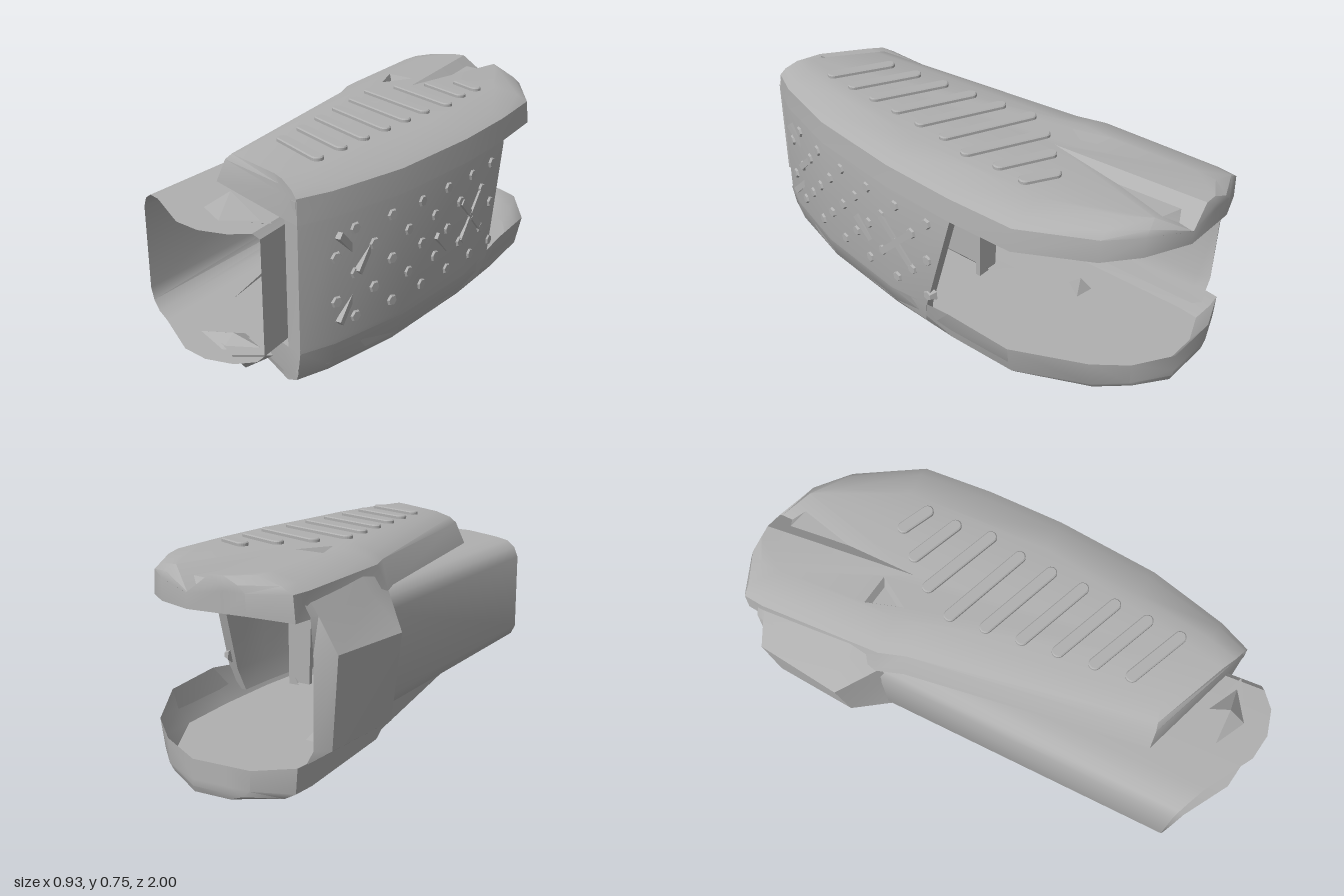
import * as THREE from 'three';
import { toCreasedNormals } from 'three/addons/utils/BufferGeometryUtils.js';

const H = 0.75; // overall height, used to mirror top parts to the bottom

// Skin a stack of plan-view rings (lists of [x, y, z]) and close both ends.
// end: optional { insert, at, hole, apex } to notch and pit the last cap.
function loft(rings, flip = false, end = {}) {
  const pos = [];
  const tri = (a, b, c) => {
    for (const p of flip ? [a, c, b] : [a, b, c]) pos.push(p[0], flip ? H - p[1] : p[1], p[2]);
  };
  const n = rings[0].length;
  for (let r = 0; r + 1 < rings.length; r++) {
    for (let i = 0; i < n; i++) {
      const j = (i + 1) % n, a = rings[r], b = rings[r + 1];
      tri(a[i], a[j], b[j]);
      tri(a[i], b[j], b[i]);
    }
  }
  const flat = (pts) => pts.map((p) => new THREE.Vector2(p[0], -p[2]));
  const cap = (pts, hole, up) => {
    const all = hole ? pts.concat(hole) : pts;
    for (const [a, b, c] of THREE.ShapeUtils.triangulateShape(flat(pts), hole ? [flat(hole)] : [])) {
      if (up) tri(all[a], all[b], all[c]);
      else tri(all[a], all[c], all[b]);
    }
  };
  cap(rings[0], null, false);
  const last = rings[rings.length - 1].slice();
  if (end.insert) {
    tri(last[end.at], last[end.at + 1], end.insert);
    last.splice(end.at + 1, 0, end.insert);
  }
  cap(last, end.hole, true);
  if (end.hole) end.hole.forEach((p, i) => tri(p, end.hole[(i + 1) % end.hole.length], end.apex));
  const g = new THREE.BufferGeometry();
  g.setAttribute('position', new THREE.Float32BufferAttribute(pos, 3));
  return toCreasedNormals(g, 0.55);
}

// Straight-line lookup through [key, value] pairs
function lookup(table, k) {
  for (let i = 0; i + 1 < table.length; i++) {
    const [a, u] = table[i], [b, v] = table[i + 1];
    if (k <= b) return u + (v - u) * Math.max(0, (k - a) / (b - a));
  }
  return table[table.length - 1][1];
}

// Plan outline (x, z) of the outer shell
const OUTLINE = [
  [-0.18, 0.63], [0.17, 0.79], [0.25, 0.82], [0.31, 0.7], [0.4, 0.4], [0.45, 0], [0.46, -0.3],
  [0.45, -0.57], [0.31, -0.82], [0.2, -0.92], [0.04, -1], [-0.1, -1], [-0.18, -1], [-0.32, -0.95],
  [-0.33, -0.87], [-0.32, -0.4], [-0.29, -0.3],
];
const SIDE_X = [[-0.57, 0.45], [-0.3, 0.46], [0, 0.45], [0.4, 0.4], [0.7, 0.31], [0.82, 0.25]];

// Long cover plate: dished underside, sloping shoulder, flat face with a pit
function plateGeometry(bottom) {
  // y, x scale, front z scale, rear z scale
  const levels = [
    [0.705, 0.88, 0.97, 0.95], [0.645, 0.96, 0.99, 0.985], [0.603, 1, 1, 1],
    [0.69, 0.98, 0.995, 1], [0.713, 0.87, 0.985, 1], [0.736, 0.62, 0.96, 0.99],
  ];
  const rim = bottom ? [[-1, 0.62], [-0.8, 0.58], [-0.3, 0.56], [-0.2, 0.603]] : [[-1, 0.62], [-0.8, 0.603]];
  const rings = levels.map(([y, sx, front, rear], level) => OUTLINE.map(([x, z], i) => {
    const flare = !bottom && level === 2 && (i === 0 || i > 14) ? 0.035 : 0;
    const tuck = bottom && level === 3 && x > 0.2 ? 0.95 : 1;
    let h = level === 2 && x > -0.3 ? lookup(rim, z) : y;
    if (i === 10 && !bottom) h = Math.min(h, 0.65 + h * 0.03);
    return [0.05 + (x - 0.05) * sx * tuck - flare, h, z * (z > 0 ? front : rear)];
  }));
  return loft(rings, bottom, {
    insert: [0, 0.736, -0.4], at: 10,
    hole: [[-0.17, 0.736, -0.52], [-0.13, 0.736, -0.38], [-0.05, 0.736, -0.5]],
    apex: [-0.12, 0.65, -0.47],
  });
}

// Side wall with a slanted rear edge: solid at the front, a thin skin behind
function wallGeometry() {
  const plan = [[0.182, 0.79], [0.248, 0.817], [0.308, 0.7], [0.398, 0.4], [0.448, 0], [0.457, -0.25],
    [0.42, -0.25], [0.41, 0], [0.36, 0.4], [0.28, 0.64], [0.182, 0.68]];
  const levels = [[0.07, 0.95], [0.16, 1], [0.59, 1], [0.68, 0.98]];
  return loft(levels.map(([y, s]) => plan.map(([x, z]) => [
    x > 0.2 ? x * s : x, y, z < -0.2 ? -0.2 - 0.1 * (y - 0.2) / 0.36 : z,
  ])));
}

// Block joining the two plates at the rear
function blockGeometry() {
  const plan = [[-0.34, -0.38], [-0.33, -0.5], [-0.34, -0.85], [-0.35, -0.9], [-0.42, -0.87], [-0.47, -0.53]];
  const levels = [[0.08, 0, 0.04], [0.14, 0.05, 0.02], [0.19, 0.72, 0], [0.5, 1, 0], [0.615, 0.15, 0], [0.69, 0, 0.04]];
  return loft(levels.map(([y, k, inward]) => plan.map(([x, z], i) => [
    (i > 2 ? -0.34 + (x + 0.34) * k : x) + inward, y, z,
  ])));
}

// Thin inner sleeve with a curved front lip, narrowing to the rear
function sleeveGeometry() {
  const half = [[0.18, 0.375], [0.18, 0.58], [0.16, 0.6], [0.1, 0.602], [0, 0.602], [-0.1, 0.602], [-0.28, 0.602],
    [-0.34, 0.595], [-0.38, 0.57], [-0.4, 0.53]];
  const ring = half.concat(half.slice(1).reverse().map(([x, y]) => [x, H - y]));
  const lip = [[-0.4, 0.8], [-0.28, 0.86], [-0.1, 0.98], [0, 1], [0.1, 0.98], [0.15, 0.94], [0.18, 0.92]];
  const tail = [[-0.1, -0.42], [0.1, -0.25], [0.18, -0.2]];
  const pos = [], idx = [], n = ring.length;
  for (const [x, y] of ring) {
    pos.push(x, y, lookup(lip, x), -0.35 + (x + 0.4) * 0.85, y, lookup(tail, x));
  }
  for (let i = 0; i < n; i++) {
    const a = 2 * i, b = 2 * ((i + 1) % n);
    idx.push(a, b, a + 1, b, b + 1, a + 1);
  }
  const g = new THREE.BufferGeometry();
  g.setAttribute('position', new THREE.Float32BufferAttribute(pos, 3));
  g.setIndex(idx);
  return toCreasedNormals(g, 0.6);
}

export function createModel() {
  const root = new THREE.Group();
  root.name = 'sleeveShell';
  const grey = new THREE.MeshStandardMaterial({ color: 0xb0b0b0, side: THREE.DoubleSide });
  grey.name = 'grey';
  const add = (name, geo, parent = root) => {
    const m = new THREE.Mesh(geo, grey);
    m.name = name;
    parent.add(m);
    return m;
  };

  add('topPlate', plateGeometry(false));
  add('bottomPlate', plateGeometry(true));
  add('sideWall', wallGeometry());
  add('rearBlock', blockGeometry());
  add('innerSleeve', sleeveGeometry());

  // Slanted web inside the rear opening
  const web = new THREE.Shape([[-0.05, 0.62], [0.07, 0.38], [0.08, 0.14], [0.17, 0.14], [0.17, 0.62]].map((p) => new THREE.Vector2(...p)));
  add('innerWeb', new THREE.ExtrudeGeometry(web, { depth: 0.02, bevelEnabled: false })).position.z = -0.2;

  // Raised grip bars, as [x0, z0, x1, z1], on both plates
  const bars = [[0.14, -0.53, 0.27, -0.46], [0.05, -0.44, 0.26, -0.34], [-0.04, -0.34, 0.27, -0.2]];
  for (let i = 0; i < 6; i++) bars.push([-0.11 + i * 0.011, -0.22 + i * 0.137, 0.24 - i * 0.011, -0.07 + i * 0.131]);
  const grips = new THREE.Group();
  grips.name = 'gripBars';
  root.add(grips);
  for (const [x0, z0, x1, z1] of bars) {
    const len = Math.hypot(x1 - x0, z1 - z0), r = 0.019;
    const s = new THREE.Shape();
    s.absarc(len / 2 - r, 0, r, -Math.PI / 2, Math.PI / 2);
    s.absarc(r - len / 2, 0, r, Math.PI / 2, Math.PI * 1.5);
    const geo = new THREE.ExtrudeGeometry(s, { depth: 0.02, bevelSize: 0.004, bevelThickness: 0.004, bevelSegments: 1, curveSegments: 5 });
    geo.rotateX(-Math.PI / 2).rotateY(-Math.atan2(z1 - z0, x1 - x0));
    for (const y of [0.726, 0.004]) add('gripBar', geo, grips).position.set((x0 + x1) / 2, y, (z0 + z1) / 2);
  }

  // Staggered faceted studs on the side wall
  const studs = new THREE.Group();
  studs.name = 'sideStuds';
  root.add(studs);
  const stud = toCreasedNormals(new THREE.CylinderGeometry(0.018, 0.031, 0.026, 6).rotateZ(-Math.PI / 2), 0.3);
  for (let row = 0; row < 5; row++) {
    for (let c = 0; c < 6; c++) {
      const z = (row % 2 ? 0.69 : 0.61) - c * 0.162;
      const m = add('stud', stud, studs);
      m.position.set(lookup(SIDE_X, z) - 0.007, 0.54 - row * 0.08, z);
      m.rotation.set(row + c, -Math.atan2(lookup(SIDE_X, z - 0.05) - lookup(SIDE_X, z + 0.05), 0.1), 0, 'YXZ');
    }
  }
  // Ridges linking a few studs
  for (const [y, z, a] of [[0.5, 0.65, 0.8], [0.42, 0.57, -0.8], [0.42, 0.0, 0.8], [0.34, 0.0, -0.8], [0.34, -0.08, 0.8], [0.42, -0.08, -0.8], [0.34, 0.16, 0.8], [0.26, 0.65, -0.8]]) {
    const m = add('studRidge', new THREE.BoxGeometry(0.02, 0.11, 0.025), studs);
    m.position.set(lookup(SIDE_X, z) - 0.004, y, z);
    m.rotation.x = a;
  }

  // Small pyramids on the sleeve lip, top and bottom, with shallow inner sides
  const peak = toCreasedNormals(new THREE.ConeGeometry(0.115, 0.08, 4).scale(1, 1, 0.6), 0.2);
  const inner = toCreasedNormals(new THREE.ConeGeometry(0.14, 0.032, 4).scale(1, 1, 0.45), 0.2);
  for (const [name, geo, x, y, z, turn] of [
    ['topPeak', peak, 0.01, 0.64, 0.84, 0], ['topInnerPeak', inner, 0.03, 0.586, 0.84, Math.PI],
    ['bottomPeak', peak, 0.07, 0.115, 0.88, Math.PI], ['bottomInnerPeak', inner, 0.01, 0.164, 0.86, 0],
  ]) {
    const m = add(name, geo);
    m.position.set(x, y, z);
    m.rotation.x = turn;
  }

  return root;
}
